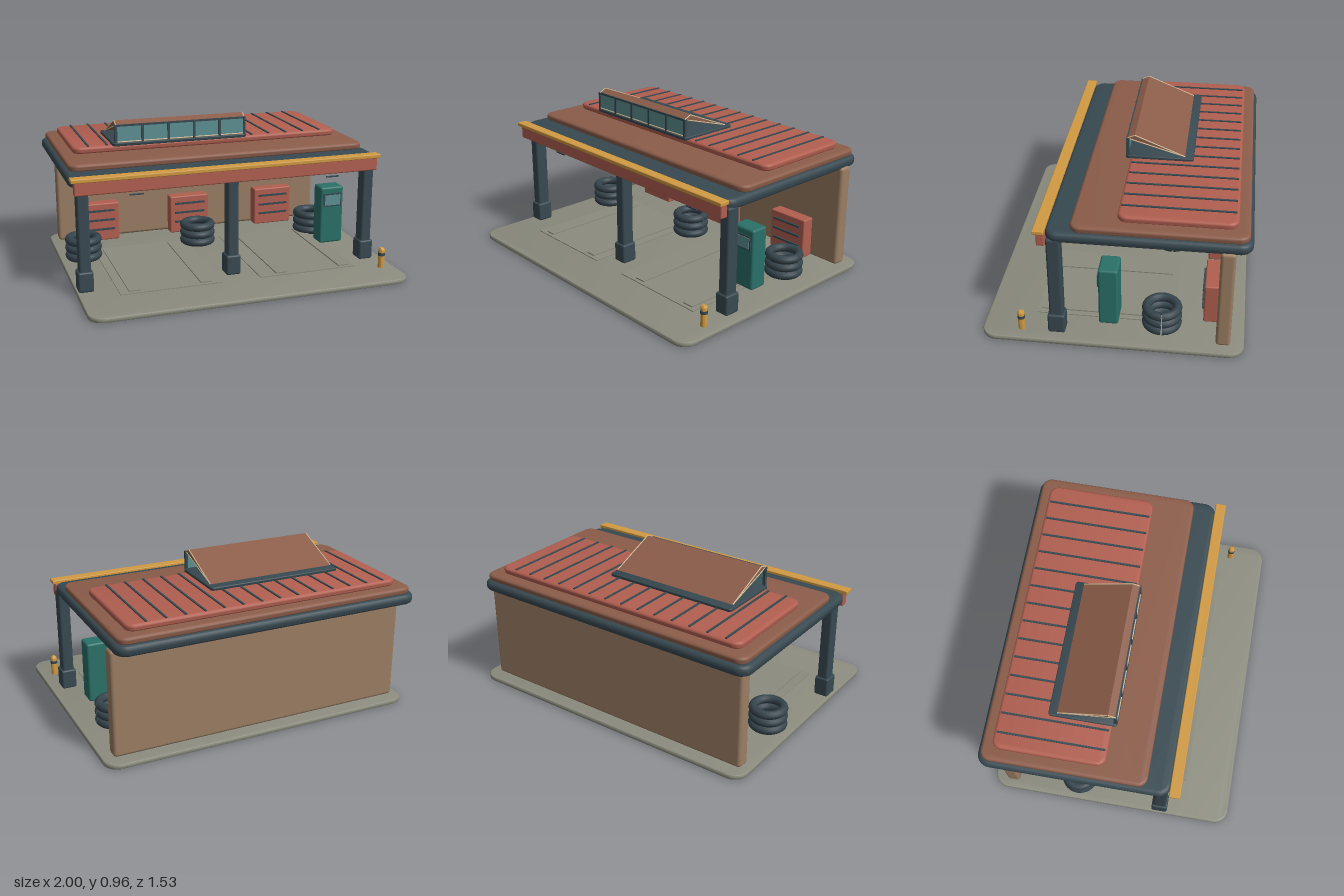
import * as THREE from 'three';
import { toCreasedNormals } from 'three/addons/utils/BufferGeometryUtils.js';
import { RoundedBoxGeometry } from 'three/addons/geometries/RoundedBoxGeometry.js';

const mat = (name, color) => Object.assign(new THREE.MeshStandardMaterial({ color }), { name });

export function createModel() {
  const concrete = mat('concrete', 0x8b8c7e);
  const slate = mat('slate', 0x384951);
  const brown = mat('roofBrown', 0x8c5d4a);
  const red = mat('brickRed', 0xb15f50);
  const tan = mat('wallTan', 0x9a7d63);
  const gold = mat('gold', 0xd19a42);
  const teal = mat('teal', 0x2a7068);
  const glass = mat('glass', 0x5c9092);
  const cream = mat('cream', 0xd6bd96);

  const root = new THREE.Group();
  root.name = 'serviceStation';

  const add = (name, geometry, material, x = 0, y = 0, z = 0, parent = root) => {
    const mesh = new THREE.Mesh(geometry, material);
    mesh.name = name;
    mesh.position.set(x, y, z);
    parent.add(mesh);
    return mesh;
  };

  // Box from its extents, with optionally rounded edges
  const box = (name, material, [x0, x1], [y0, y1], [z0, z1], r = 0, parent = root) => {
    const s = [x1 - x0, y1 - y0, z1 - z0];
    const g = r ? new RoundedBoxGeometry(...s, 3, r) : new THREE.BoxGeometry(...s);
    return add(name, g, material, (x0 + x1) / 2, (y0 + y1) / 2, (z0 + z1) / 2, parent);
  };

  // Flat plate with rounded corners and a rounded rim
  const plate = (name, material, [x0, x1], [y0, y1], [z0, z1], r, b, parent = root) => {
    const w = (x1 - x0) / 2 - b, d = (z1 - z0) / 2 - b, k = r - b;
    const s = new THREE.Shape();
    s.absarc(w - k, d - k, k, 0, Math.PI / 2);
    s.absarc(-w + k, d - k, k, Math.PI / 2, Math.PI);
    s.absarc(-w + k, -d + k, k, Math.PI, Math.PI * 1.5);
    s.absarc(w - k, -d + k, k, Math.PI * 1.5, Math.PI * 2);
    s.closePath();
    let g = new THREE.ExtrudeGeometry(s, {
      depth: y1 - y0 - 2 * b, bevelThickness: b, bevelSize: b, bevelSegments: 4, curveSegments: 8,
    });
    g.rotateX(-Math.PI / 2);
    g = toCreasedNormals(g, 0.7);
    return add(name, g, material, (x0 + x1) / 2, y0 + b, (z0 + z1) / 2, parent);
  };

  // Thin round bar between two points
  const bar = (name, material, a, b, r, parent = root) => {
    const p = new THREE.Vector3(...a), q = new THREE.Vector3(...b);
    return add(name, new THREE.TubeGeometry(new THREE.LineCurve3(p, q), 1, r, 8), material, 0, 0, 0, parent);
  };

  // Ground slab, service bays and wheel tracks
  plate('groundSlab', concrete, [-0.98, 0.995], [0, 0.03], [-0.76, 0.765], 0.09, 0.008);
  for (const [x0, x1, t0, t1] of [[-0.745, -0.12, -0.655, -0.215], [0.125, 0.76, 0.27, 0.69]]) {
    box('bayPad', concrete, [x0, x1], [0.028, 0.035], [-0.34, 0.475]);
    for (const t of [t0, t1])
      box('wheelTrack', concrete, [t - 0.035, t + 0.035], [0.034, 0.042], [-0.3, 0.45]);
  }

  // Back wall
  box('backWall', tan, [-0.93, 0.93], [0.03, 0.675], [-0.68, -0.595], 0.02);

  // Front columns with wider feet
  for (const x of [-0.925, -0.015, 0.882]) {
    box('column', slate, [x - 0.035, x + 0.035], [0.03, 0.68], [0.285, 0.367], 0.014);
    box('columnFoot', slate, [x - 0.046, x + 0.046], [0.03, 0.155], [0.277, 0.377], 0.012);
  }

  // Stepped roof
  plate('roofSlab', slate, [-1, 0.92], [0.66, 0.725], [-0.77, 0.378], 0.075, 0.026);
  plate('roofMiddleTier', brown, [-0.975, 0.902], [0.722, 0.765], [-0.75, 0.237], 0.06, 0.017);
  plate('roofTopTier', red, [-0.905, 0.83], [0.764, 0.806], [-0.685, -0.018], 0.055, 0.017);
  for (let i = 0; i < 14; i++) {
    const x = -0.81 + i * 0.1172;
    box('roofRib', slate, [x - 0.006, x + 0.006], [0.8, 0.812], [-0.67, -0.03]);
  }

  // Front fascia and gold trim
  box('fascia', red, [-0.98, 0.91], [0.63, 0.715], [0.372, 0.42], 0.008);
  box('fasciaTrim', gold, [-1, 0.922], [0.71, 0.734], [0.372, 0.437], 0.005);

  // Hanging light strips and small brackets behind the fascia
  for (const x of [-0.61, 0.63]) {
    box('lightStrip', cream, [x - 0.14, x + 0.14], [0.624, 0.636], [-0.056, -0.034], 0.004);
    box('bracket', slate, [x - 0.042, x + 0.042], [0.596, 0.604], [0.367, 0.375]);
  }

  // Roof skylight: curb, glazed front and sloping lid
  const skylight = new THREE.Group();
  skylight.name = 'skylight';
  root.add(skylight);
  plate('skylightCurb', slate, [-0.665, 0.195], [0.803, 0.824], [-0.397, 0.012], 0.02, 0.006, skylight);
  const sx0 = -0.645, sx1 = 0.18, pane = (sx1 - sx0) / 5;
  for (let i = 0; i <= 5; i++) {
    const x = sx0 + i * pane;
    box('mullion', slate, [x - 0.008, x + 0.008], [0.82, 0.935], [-0.01, 0.01], 0, skylight);
    if (i < 5)
      box('skylightPane', glass, [x + 0.008, x + pane - 0.008], [0.825, 0.93], [-0.003, 0.004], 0, skylight);
  }
  box('glazingTopRail', slate, [sx0, sx1], [0.924, 0.936], [-0.01, 0.008], 0, skylight);
  bar('glazingSill', cream, [sx0, 0.829, 0.006], [sx1, 0.829, 0.006], 0.004, skylight);
  const lidProfile = [[0.004, 0.934], [-0.042, 0.955], [-0.345, 0.829]];
  const lid = new THREE.ExtrudeGeometry(
    new THREE.Shape(lidProfile.map(([z, y]) => new THREE.Vector2(z, y))),
    { depth: sx1 - sx0, bevelEnabled: false });
  lid.rotateY(-Math.PI / 2);
  add('skylightLid', lid, brown, sx1, 0, 0, skylight);
  for (const x of [sx0, sx1])
    lidProfile.forEach(([z, y], i) => {
      const [z2, y2] = lidProfile[(i + 1) % 3];
      bar('lidEdgeTrim', cream, [x, y, z], [x, y2, z2], 0.0035, skylight);
    });

  // Tool cabinets along the wall
  for (const x of [-0.667, -0.03, 0.591]) {
    const cabinet = new THREE.Group();
    cabinet.name = 'toolCabinet';
    cabinet.position.x = x;
    root.add(cabinet);
    box('cabinetBody', red, [-0.137, 0.137], [0.03, 0.29], [-0.6, -0.515], 0.009, cabinet);
    for (const y of [0.24, 0.175, 0.11])
      box('drawerHandle', slate, [-0.105, 0.105], [y - 0.006, y + 0.006], [-0.517, -0.503], 0, cabinet);
  }

  // Tyre stacks, each tyre split by a narrow seam
  const tyre = new THREE.TorusGeometry(0.091, 0.0265, 12, 36, Math.PI * 2 - 0.09);
  tyre.rotateX(Math.PI / 2);
  const tyreMat = slate.clone();
  tyreMat.name = 'tyreRubber';
  tyreMat.color.set(0x35444c);
  tyreMat.side = THREE.DoubleSide;
  for (const [x, z] of [[-0.832, -0.213], [-0.047, -0.275], [0.778, -0.275]])
    for (let i = 0; i < 3; i++) add('tyre', tyre, tyreMat, x, 0.057 + i * 0.052, z);

  // Fuel pump
  const pump = new THREE.Group();
  pump.name = 'fuelPump';
  root.add(pump);
  box('pumpBody', teal, [0.69, 0.85], [0.06, 0.443], [-0.025, 0.09], 0.014, pump);
  box('pumpScreenFrame', slate, [0.708, 0.832], [0.312, 0.4], [0.086, 0.096], 0, pump);
  box('pumpScreen', glass, [0.716, 0.824], [0.322, 0.391], [0.095, 0.1], 0, pump);

  // Bollard with a domed cap and dark band
  const profile = new THREE.Path();
  profile.moveTo(0.02, 0);
  profile.lineTo(0.02, 0.136);
  profile.absarc(0, 0.136, 0.02, 0, Math.PI / 2);
  add('bollard', toCreasedNormals(new THREE.LatheGeometry(profile.getPoints(6), 20), 0.7), gold, 0.908, 0.005, 0.535);
  add('bollardBand', new THREE.CylinderGeometry(0.0215, 0.0215, 0.02, 20), slate, 0.908, 0.117, 0.535);

  return root;
}
